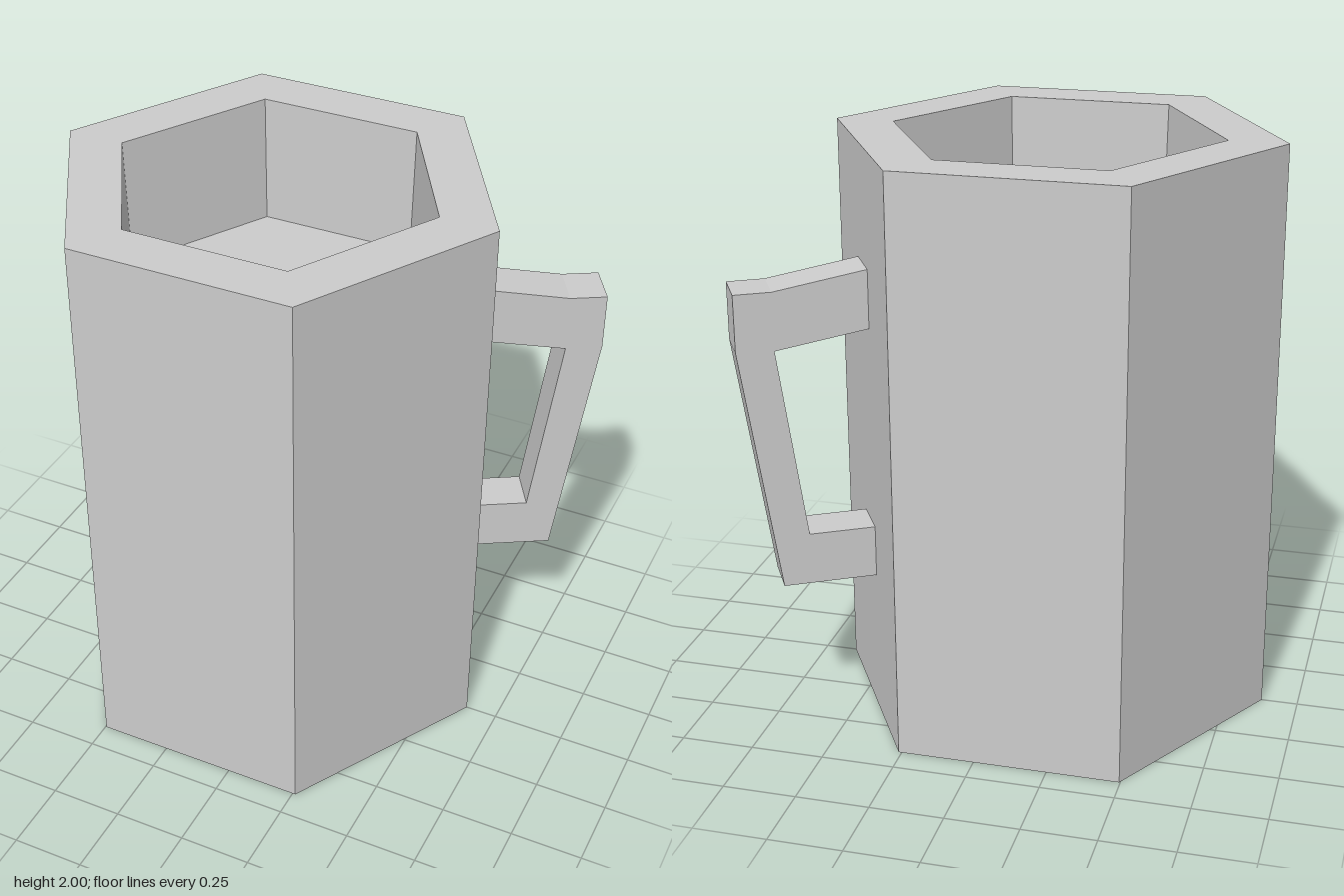
import * as THREE from 'three';

const material = new THREE.MeshStandardMaterial({ color: 0xcccccc, flatShading: true });

function addPart(parent, name, geometry) {
  const flat = geometry.index ? geometry.toNonIndexed() : geometry;
  flat.computeVertexNormals();
  const mesh = new THREE.Mesh(flat, material);
  mesh.name = name;
  parent.add(mesh);
  return mesh;
}

const points = (list) => list.map(([x, y]) => new THREE.Vector2(x, y));

export function createModel() {
  const group = new THREE.Group();
  group.name = 'mug';

  const centreX = -0.118;
  const radius = 0.757;
  const apothem = radius * Math.cos(Math.PI / 6);

  // Six-sided body: base, outer wall, thick rim, inner wall, filled surface
  const profile = points([
    [0, 0], [radius, 0], [radius, 2], [0.56, 2], [0.548, 1.55], [0, 1.55],
  ]);
  const body = addPart(group, 'body', new THREE.LatheGeometry(profile, 6, Math.PI / 2));
  body.position.x = centreX;

  // Handle outline: x is the distance out from the wall
  const outline = new THREE.Shape(points([
    [-0.03, 0.52], [0.315, 0.52], [0.435, 1.36], [0.435, 1.555], [0.31, 1.555], [-0.03, 1.61],
    [-0.03, 1.409], [0.31, 1.356], [0.222, 0.7], [-0.03, 0.7],
  ]));
  const width = 0.155;
  const handleGeometry = new THREE.ExtrudeGeometry(outline, { depth: width, bevelEnabled: false });
  handleGeometry.translate(apothem, 0, -width / 2);

  // Mounted square on the back-left face
  const handle = addPart(group, 'handle', handleGeometry);
  handle.position.x = centreX;
  handle.rotation.y = Math.PI / 6;

  return group;
}
